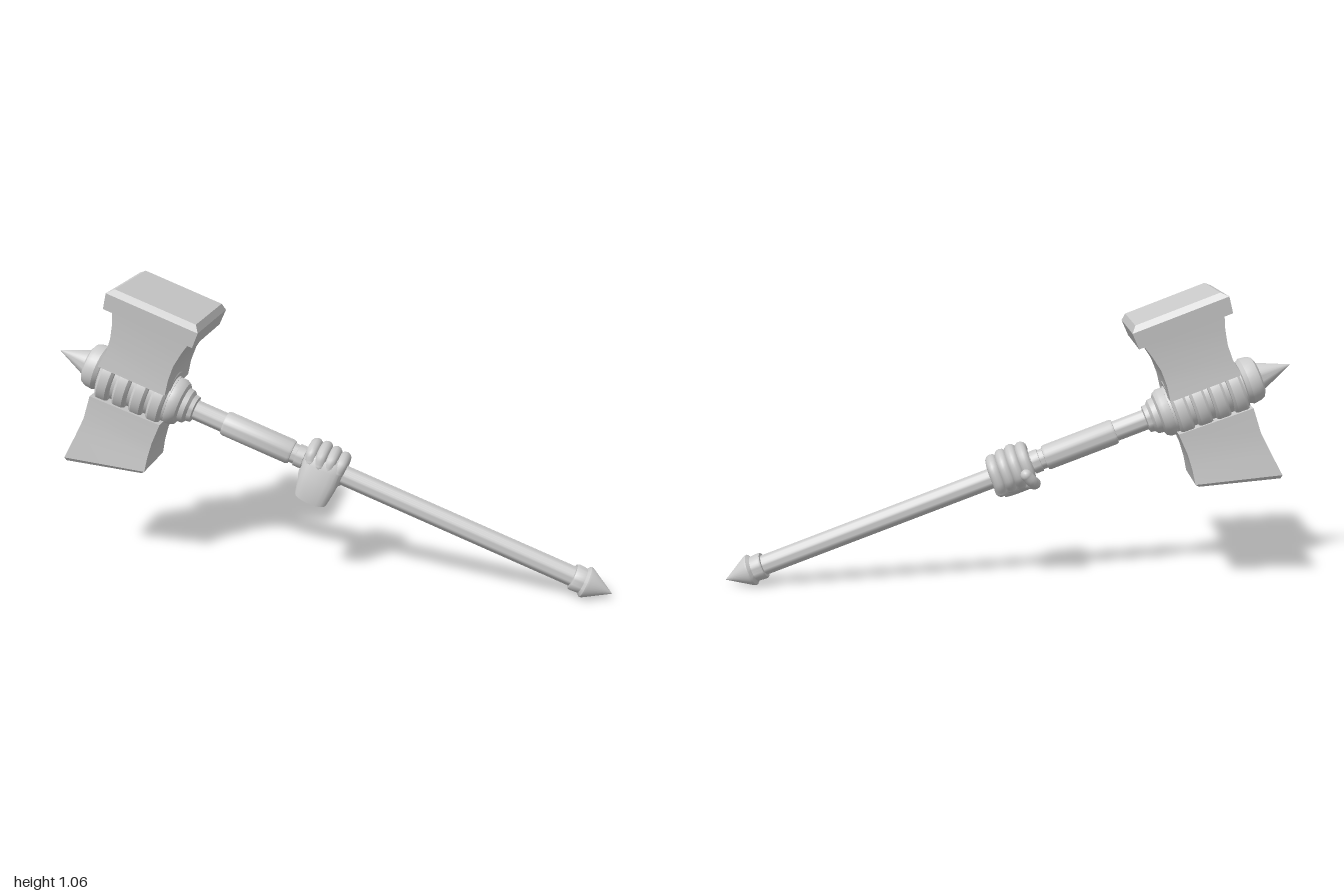
import * as THREE from 'three';
import { toCreasedNormals } from 'three/addons/utils/BufferGeometryUtils.js';

const material = new THREE.MeshStandardMaterial({ color: 0xcccccc });

function add(parent, name, geometry) {
  const mesh = new THREE.Mesh(geometry, material);
  mesh.name = name;
  parent.add(mesh);
  return mesh;
}

// Turned part: profile of [position along the shaft, radius]
function turned(profile) {
  const geo = new THREE.LatheGeometry(profile.map(([x, r]) => new THREE.Vector2(r, x)), 32);
  return toCreasedNormals(geo.rotateZ(-Math.PI / 2), 0.6);
}

// Closed skin over rings of points, listed from bottom to top
function loft(rings, crease) {
  const out = [];
  const put = (...pts) => pts.forEach((p) => out.push(...p));
  const n = rings[0].length;
  const centre = (ring) => [0, 1, 2].map((k) => ring.reduce((s, p) => s + p[k], 0) / n);
  const first = rings[0], last = rings[rings.length - 1];
  for (let j = 0; j < n; j++) {
    const k = (j + 1) % n;
    for (let i = 0; i < rings.length - 1; i++) {
      const a = rings[i], b = rings[i + 1];
      put(a[j], a[k], b[j], a[k], b[k], b[j]);
    }
    put(centre(first), first[k], first[j]);
    put(centre(last), last[j], last[k]);
  }
  const geo = new THREE.BufferGeometry();
  geo.setAttribute('position', new THREE.Float32BufferAttribute(out, 3));
  return toCreasedNormals(geo, crease);
}

// Rectangular section: ends x0 and x1, half depth z, heights y0 and y1 at each end
const rect = (x0, x1, z, y0, y1 = y0) => [[x1, y1, z], [x1, y1, -z], [x0, y0, -z], [x0, y0, z]];

// Rounded section for the palm
function oval(y, x, z, rx, rz, slope = 0) {
  const ring = [];
  for (let i = 0; i < 20; i++) {
    const a = (i / 20) * Math.PI * 2;
    const c = Math.cos(a), s = -Math.sin(a);
    const round = (t) => Math.sign(t) * Math.abs(t) ** 0.7;
    ring.push([x + rx * round(c), y + slope * s, z + rz * round(s)]);
  }
  return ring;
}

// Finger: a bent tube with rounded ends
function digit(parent, name, points, radius) {
  const group = new THREE.Group();
  group.name = name;
  const pts = points.map((p) => new THREE.Vector3(...p));
  add(group, 'fingerLength', new THREE.TubeGeometry(new THREE.CatmullRomCurve3(pts), 24, radius, 12));
  for (const end of [pts[0], pts[pts.length - 1]]) {
    add(group, 'fingerEnd', new THREE.SphereGeometry(radius, 12, 10)).position.copy(end);
  }
  parent.add(group);
}

export function createModel() {
  const model = new THREE.Group();
  const hammer = new THREE.Group();
  hammer.name = 'hammer';
  hammer.rotation.z = -0.372;
  hammer.position.y = 0.41;
  model.add(hammer);

  // Shaft, thicker grip and pointed butt
  add(hammer, 'shaft', turned([[-0.92, 0], [-0.92, 0.036], [0.95, 0.036], [0.95, 0]]));
  add(hammer, 'grip', turned([
    [-0.42, 0.03], [-0.418, 0.042], [-0.41, 0.045], [-0.165, 0.045], [-0.157, 0.042], [-0.155, 0.03],
  ]));
  add(hammer, 'gripRing', turned([[-0.14, 0.03], [-0.138, 0.041], [-0.11, 0.041], [-0.108, 0.03]]));
  add(hammer, 'buttSpike', turned([
    [0.915, 0.03], [0.917, 0.045], [0.923, 0.048], [0.955, 0.046], [0.965, 0.057], [0.973, 0.056], [1.067, 0],
  ]));

  // Collars at both ends of the head and the top spike
  add(hammer, 'lowerCollar', turned([
    [-0.64, 0.06], [-0.635, 0.078], [-0.622, 0.086], [-0.6, 0.086], [-0.585, 0.078],
    [-0.578, 0.064], [-0.56, 0.062], [-0.55, 0.05], [-0.535, 0.048], [-0.53, 0.03],
  ]));
  add(hammer, 'upperCollar', turned([
    [-0.952, 0.03], [-0.952, 0.06], [-0.945, 0.073], [-0.93, 0.08], [-0.905, 0.083], [-0.89, 0.075], [-0.88, 0.04],
  ]));
  add(hammer, 'topSpike', turned([[-1.067, 0], [-0.95, 0.051], [-0.935, 0.053], [-0.93, 0]]));

  // Rounded straps around the middle of the head
  add(hammer, 'strapCore', turned([[-0.885, 0], [-0.885, 0.088], [-0.622, 0.088], [-0.622, 0]]));
  for (let i = 0; i < 4; i++) {
    const x = -0.853 + i * 0.066;
    add(hammer, 'strap', turned([
      [x - 0.025, 0.08], [x - 0.025, 0.103], [x - 0.016, 0.112], [x + 0.016, 0.112], [x + 0.025, 0.103], [x + 0.025, 0.08],
    ]));
  }

  // Upper striking block with its bevelled face
  add(hammer, 'upperBlock', loft([
    rect(-0.882, -0.627, 0.136, 0.058),
    rect(-0.87, -0.634, 0.134, 0.115),
    rect(-0.87, -0.633, 0.136, 0.17),
    rect(-0.879, -0.621, 0.139, 0.225),
    rect(-0.894, -0.604, 0.145, 0.28),
  ], 0.3));
  add(hammer, 'strikingFace', loft([
    rect(-0.917, -0.587, 0.168, 0.272),
    rect(-0.923, -0.584, 0.174, 0.33),
    rect(-0.902, -0.603, 0.157, 0.35),
  ], 0.2));

  // Lower block, cut at a slant
  add(hammer, 'lowerBlock', loft([
    rect(-0.893, -0.62, 0.097, -0.343, -0.268),
    rect(-0.902, -0.611, 0.106, -0.332, -0.255),
    rect(-0.89, -0.619, 0.1, -0.24, -0.2),
    rect(-0.882, -0.622, 0.096, -0.165, -0.145),
    rect(-0.886, -0.617, 0.098, -0.075, -0.068),
  ], 0.3));

  // Clenched hand: palm with open wrist, four fingers and a thumb
  const hand = new THREE.Group();
  hand.name = 'hand';
  hammer.add(hand);
  add(hand, 'palm', loft([
    oval(-0.1, -0.03, 0.066, 0.06, 0.03, -0.012),
    oval(-0.07, -0.031, 0.058, 0.066, 0.04, -0.008),
    oval(-0.03, -0.032, 0.05, 0.072, 0.04),
    oval(0.015, -0.033, 0.046, 0.074, 0.034),
    oval(0.045, -0.034, 0.042, 0.072, 0.028),
    oval(0.062, -0.034, 0.036, 0.064, 0.016),
  ], 0.9));
  for (let i = 0; i < 4; i++) {
    const x = -0.088 + i * 0.037;
    const k = [0.98, 1.06, 1, 0.9][i];
    digit(hand, 'finger', [
      [x * 0.9, 0.02, 0.056 * k], [x, 0.05 * k, 0.05 * k], [x, 0.063 * k, 0.02],
      [x, 0.06 * k, -0.025], [x, 0.035, -0.053 * k], [x, -0.015, -0.058 * k], [x + 0.004, -0.045, -0.038],
    ], 0.0215);
  }
  digit(hand, 'thumb', [
    [-0.04, -0.07, 0.05], [-0.075, -0.072, 0.02], [-0.092, -0.066, -0.03], [-0.088, -0.045, -0.066], [-0.078, -0.015, -0.078],
  ], 0.021);

  return model;
}
